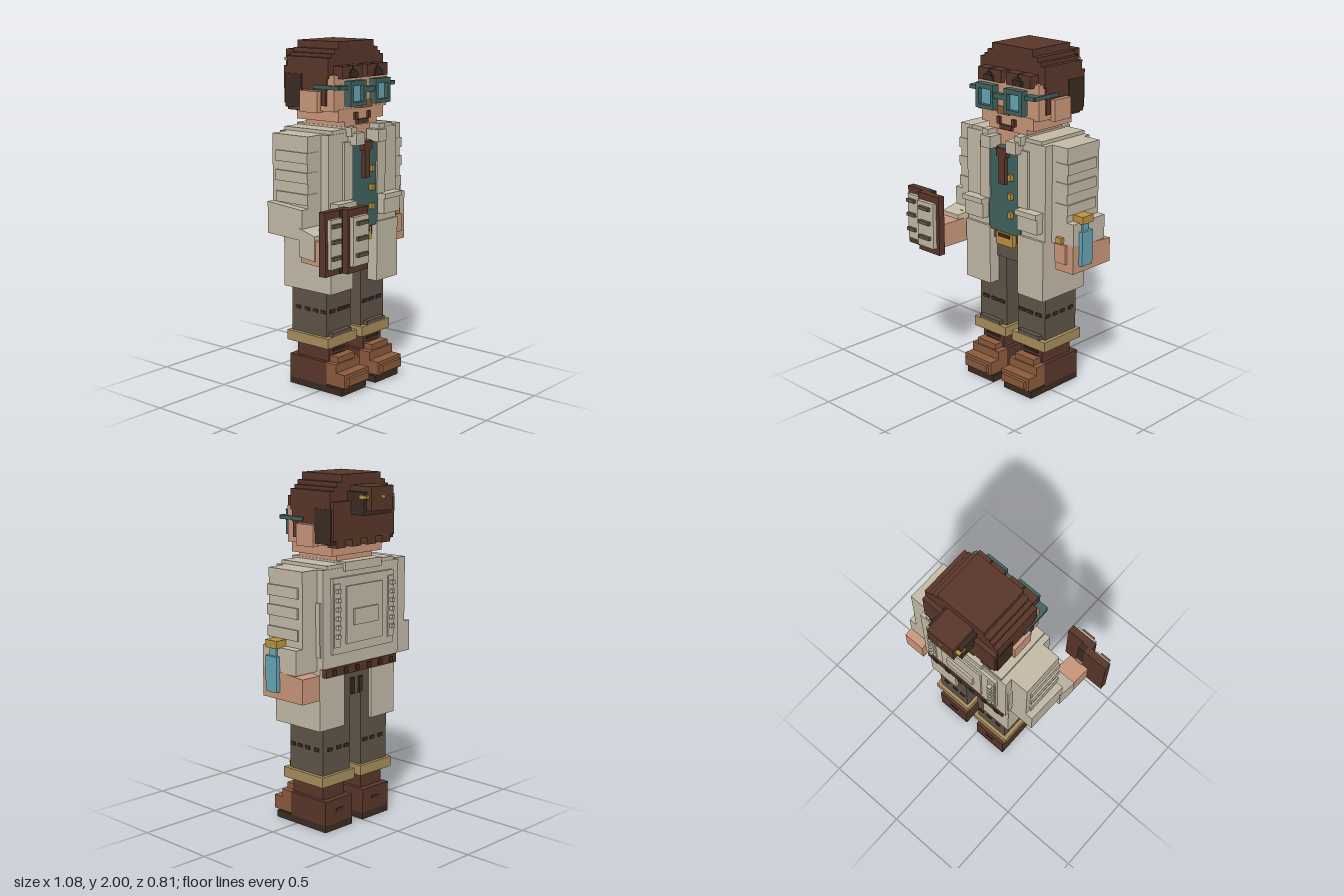
import * as THREE from 'three';

const colours = {
  coat: 0xc2b9a6, hair: 0x583629, dark: 0x3b2b22, skin: 0xc9967a, leather: 0x8b5a3c,
  trousers: 0x5f5347, gold: 0xb9923f, teal: 0x3f625f, glass: 0x66a5b6, cuff: 0xa68d5c,
};

export function createModel() {
  const root = new THREE.Group();
  root.name = 'figure';
  const mats = {};
  for (const [name, color] of Object.entries(colours)) {
    mats[name] = new THREE.MeshStandardMaterial({ color });
    mats[name].name = name;
  }
  const CX = 0.045; // symmetry plane of the body

  // Box from its limits
  function box(name, mat, x0, x1, y0, y1, z0, z1) {
    const m = new THREE.Mesh(new THREE.BoxGeometry(x1 - x0, y1 - y0, z1 - z0), mats[mat]);
    m.position.set((x0 + x1) / 2, (y0 + y1) / 2, (z0 + z1) / 2);
    m.name = name;
    root.add(m);
    return m;
  }
  // Box on both sides; a and b are distances from the symmetry plane
  function pair(name, mat, a, b, ...yz) {
    box(name + 'Left', mat, CX + a, CX + b, ...yz);
    box(name + 'Right', mat, CX - b, CX - a, ...yz);
  }
  // Tapered limb along z, ends given as [x0, x1, y0, y1, z]
  function limb(name, mat, back, front) {
    const g = new THREE.BoxGeometry(1, 1, 1), p = g.attributes.position;
    for (let i = 0; i < p.count; i++) {
      const e = p.getZ(i) > 0 ? front : back;
      p.setXYZ(i, e[p.getX(i) > 0 ? 1 : 0], e[p.getY(i) > 0 ? 3 : 2], e[4]);
    }
    const flat = g.toNonIndexed();
    flat.computeVertexNormals();
    const m = new THREE.Mesh(flat, mats[mat]);
    m.name = name;
    root.add(m);
  }

  // Boots
  pair('sole', 'dark', 0.045, 0.262, 0, 0.04, -0.23, 0.165);
  pair('bootHeel', 'hair', 0.045, 0.262, 0.04, 0.18, -0.23, 0.05);
  pair('bootUpper', 'hair', 0.07, 0.24, 0.18, 0.27, -0.19, 0.05);
  pair('bootToe', 'leather', 0.045, 0.262, 0.05, 0.18, 0.05, 0.12);
  pair('bootCap', 'leather', 0.045, 0.262, 0.05, 0.13, 0.12, 0.185);
  pair('toeBumper', 'leather', 0.065, 0.242, 0.065, 0.11, 0.185, 0.205);
  pair('bootTongue', 'leather', 0.08, 0.23, 0.18, 0.215, 0.05, 0.11);
  for (const y of [0.205, 0.235]) pair('lace', 'dark', 0.1, 0.21, y, y + 0.012, 0.05, 0.058);
  pair('heelTab', 'dark', 0.12, 0.18, 0.11, 0.125, -0.235, -0.23);

  // Trousers
  pair('trouserLeg', 'trousers', 0.045, 0.262, 0.33, 0.8, -0.21, 0.05);
  pair('trouserCuff', 'cuff', 0.025, 0.285, 0.27, 0.33, -0.23, 0.08);
  pair('knee', 'trousers', 0.075, 0.24, 0.33, 0.355, 0.05, 0.08);
  for (const a of [0.06, 0.12, 0.19]) {
    pair('kneeStitch', 'dark', a, a + 0.045, 0.465, 0.485, 0.05, 0.057);
    pair('backStitch', 'dark', a, a + 0.035, 0.465, 0.485, -0.217, -0.21);
  }
  for (const z of [-0.18, -0.11, -0.05, 0.01])
    pair('sideStitch', 'dark', 0.262, 0.268, 0.465, 0.485, z, z + 0.035);
  box('hips', 'trousers', -0.215, 0.305, 0.76, 0.95, -0.21, 0.06);
  pair('backTab', 'dark', 0.02, 0.045, 0.77, 0.86, -0.225, -0.21);

  // Belt
  box('belt', 'hair', -0.08, 0.17, 0.88, 0.935, 0.06, 0.085);
  box('buckle', 'gold', -0.02, 0.11, 0.86, 0.935, 0.085, 0.115);
  box('bucklePin', 'dark', 0.0, 0.09, 0.91, 0.928, 0.115, 0.121);
  box('backBelt', 'hair', -0.24, 0.33, 0.905, 0.955, -0.262, -0.2);
  for (let i = 0; i < 6; i++)
    box('beltLoop', 'dark', -0.21 + i * 0.093, -0.18 + i * 0.093, 0.915, 0.945, -0.268, -0.262);

  // Shirt and tie
  box('shirt', 'teal', -0.08, 0.17, 0.94, 1.44, -0.05, 0.112);
  box('tieKnot', 'hair', 0.005, 0.085, 1.39, 1.44, 0.11, 0.14);
  box('tie', 'hair', 0.022, 0.068, 1.23, 1.4, 0.11, 0.135);
  for (const y of [1.04, 1.15, 1.26])
    box('shirtButton', 'gold', 0.09, 0.115, y, y + 0.035, 0.112, 0.135);

  // Coat
  pair('coatFront', 'coat', 0.11, 0.305, 0.94, 1.5, -0.05, 0.105);
  box('coatBack', 'coat', -0.26, 0.35, 0.955, 1.5, -0.255, -0.05);
  pair('coatSkirt', 'coat', 0.11, 0.305, 0.6, 0.955, -0.23, 0.12);
  pair('pocket', 'coat', 0.135, 0.285, 1.0, 1.09, 0.105, 0.15);
  pair('pocketFlap', 'coat', 0.13, 0.29, 1.09, 1.12, 0.105, 0.165);
  pair('lapel', 'coat', 0.11, 0.185, 1.12, 1.45, 0.105, 0.12);
  pair('shoulderYoke', 'coat', 0.13, 0.27, 1.5, 1.52, -0.25, 0.1);
  pair('collar', 'coat', 0.06, 0.135, 1.43, 1.5, 0.08, 0.165);
  pair('collarSide', 'coat', 0.1, 0.15, 1.48, 1.53, -0.22, 0.14);
  box('collarBack', 'coat', -0.1, 0.19, 1.48, 1.53, -0.27, -0.2);
  pair('sidePanel', 'coat', 0.305, 0.315, 1.02, 1.32, -0.24, -0.17);

  // Back panel with raised frame and studs
  box('backPanel', 'coat', -0.2, 0.29, 1.03, 1.45, -0.272, -0.255);
  box('backInset', 'coat', -0.1, 0.19, 1.08, 1.4, -0.282, -0.272);
  box('backPocket', 'coat', -0.05, 0.14, 1.18, 1.27, -0.295, -0.282);
  pair('backStrap', 'coat', 0.195, 0.24, 1.07, 1.42, -0.28, -0.272);
  for (let i = 0; i < 6; i++)
    pair('stud', 'coat', 0.207, 0.23, 1.12 + i * 0.05, 1.142 + i * 0.05, -0.3, -0.28);

  // Upper sleeves with folds
  pair('sleeve', 'coat', 0.305, 0.415, 1.08, 1.5, -0.21, 0.05);
  for (const y of [1.12, 1.24, 1.35])
    pair('sleeveFold', 'coat', 0.33, 0.425, y, y + 0.06, -0.18, 0.055);

  // Left hand holding a flask
  box('leftSleeveCuff', 'coat', 0.35, 0.51, 0.94, 1.08, -0.21, 0.05);
  limb('leftHand', 'skin', [0.38, 0.512, 0.79, 0.93, -0.26], [0.38, 0.51, 0.79, 0.955, 0.05]);
  box('leftThumb', 'skin', 0.385, 0.465, 0.84, 0.95, 0.04, 0.065);
  box('cuffButton', 'gold', 0.4, 0.44, 0.955, 0.99, 0.05, 0.072);
  box('flask', 'glass', 0.465, 0.535, 0.83, 1.03, -0.083, 0.003);
  box('flaskNeck', 'glass', 0.475, 0.52, 1.03, 1.075, -0.065, -0.015);
  box('flaskStopper', 'gold', 0.462, 0.535, 1.075, 1.118, -0.085, 0.003);

  // Right forearm reaching forward
  limb('rightSleeveCuff', 'coat', [-0.415, -0.26, 0.94, 1.12, -0.21], [-0.42, -0.265, 0.93, 1.1, 0.05]);
  limb('rightCuffEnd', 'coat', [-0.425, -0.265, 0.84, 1.0, 0.03], [-0.432, -0.3, 0.83, 0.97, 0.15]);
  box('rightCuffButton', 'gold', -0.335, -0.31, 0.96, 0.985, 0.06, 0.1);
  limb('rightHand', 'skin', [-0.42, -0.28, 0.81, 0.95, 0.04], [-0.43, -0.3, 0.8, 0.94, 0.275]);
  box('rightFingers', 'skin', -0.385, -0.34, 0.8, 0.96, 0.27, 0.325);

  // Open book
  box('bookOuterCover', 'hair', -0.54, -0.385, 0.79, 1.14, 0.277, 0.32);
  box('bookSpine', 'dark', -0.425, -0.34, 0.79, 1.14, 0.279, 0.324);
  box('bookInnerCover', 'hair', -0.405, -0.233, 0.79, 1.14, 0.32, 0.362);
  box('outerPage', 'coat', -0.52, -0.428, 0.83, 1.1, 0.32, 0.342);
  box('innerPage', 'coat', -0.388, -0.255, 0.83, 1.1, 0.362, 0.386);
  for (const y of [0.88, 0.97, 1.055]) {
    box('outerLine', 'trousers', -0.515, -0.45, y, y + 0.02, 0.342, 0.36);
    box('innerLine', 'trousers', -0.363, -0.278, y, y + 0.02, 0.386, 0.405);
  }

  // Head
  box('neck', 'skin', -0.09, 0.18, 1.44, 1.54, -0.2, 0.07);
  box('jaw', 'skin', -0.1, 0.19, 1.53, 1.57, -0.2, 0.085);
  box('lowerFace', 'skin', -0.155, 0.245, 1.56, 1.63, -0.22, 0.09);
  box('face', 'skin', -0.19, 0.28, 1.62, 1.82, -0.2, 0.085);
  pair('ear', 'skin', 0.22, 0.265, 1.61, 1.73, -0.14, -0.01);
  box('nose', 'leather', 0.0, 0.09, 1.63, 1.675, 0.085, 0.125);
  box('noseBridge', 'skin', 0.005, 0.085, 1.675, 1.73, 0.085, 0.12);
  box('mouth', 'hair', 0.0, 0.09, 1.54, 1.565, 0.085, 0.105);
  pair('mouthCorner', 'hair', 0.045, 0.07, 1.565, 1.605, 0.085, 0.105);

  // Glasses: frames around thin lenses
  pair('lens', 'glass', 0.06, 0.155, 1.665, 1.765, 0.11, 0.135);
  pair('frameTop', 'teal', 0.042, 0.178, 1.762, 1.79, 0.115, 0.16);
  pair('frameBottom', 'teal', 0.042, 0.178, 1.65, 1.672, 0.115, 0.16);
  pair('frameInner', 'teal', 0.042, 0.064, 1.67, 1.765, 0.115, 0.16);
  pair('frameOuter', 'teal', 0.154, 0.178, 1.67, 1.765, 0.115, 0.16);
  box('glassesBridge', 'teal', 0.0, 0.09, 1.72, 1.75, 0.12, 0.155);
  pair('frameHinge', 'teal', 0.175, 0.245, 1.743, 1.765, 0.06, 0.14);
  pair('temple', 'teal', 0.238, 0.252, 1.743, 1.765, -0.05, 0.13);

  // Hair: stepped crown, sides and back
  const steps = [[0.245, 1.8, 1.915], [0.215, 1.915, 1.935], [0.19, 1.935, 1.96], [0.155, 1.96, 2.0]];
  for (const [w, y0, y1] of steps) box('crown', 'hair', CX - w, CX + w, y0, y1, -0.25, 0.052);
  pair('hairSide', 'hair', 0.2, 0.245, 1.735, 1.81, -0.25, 0.04);
  pair('sideburn', 'hair', 0.225, 0.245, 1.65, 1.74, 0.0, 0.035);
  pair('hairNape', 'dark', 0.2, 0.25, 1.63, 1.82, -0.26, -0.14);
  box('hairBack', 'hair', CX - 0.243, CX + 0.243, 1.65, 1.86, -0.275, -0.19);
  for (let i = 0; i < 4; i++)
    box('napeLock', 'hair', -0.17 + i * 0.12, -0.1 + i * 0.12, 1.61, 1.65, -0.272, -0.2);
  pair('fringeOuter', 'hair', 0.115, 0.2, 1.8, 1.87, 0.05, 0.118);
  pair('fringeInner', 'hair', 0.02, 0.105, 1.8, 1.87, 0.05, 0.118);
  pair('browBase', 'dark', 0.075, 0.145, 1.805, 1.835, 0.06, 0.13);
  pair('browTop', 'dark', 0.09, 0.13, 1.835, 1.85, 0.06, 0.125);

  // Bun with pins
  box('bun', 'dark', -0.062, 0.155, 1.785, 1.91, -0.37, -0.25);
  box('bunTop', 'hair', -0.04, 0.133, 1.81, 1.94, -0.405, -0.25);
  pair('hairPin', 'gold', 0.085, 0.112, 1.875, 1.892, -0.39, -0.34);
  box('pinHead', 'gold', 0.03, 0.06, 1.875, 1.892, -0.41, -0.4);

  return root;
}
